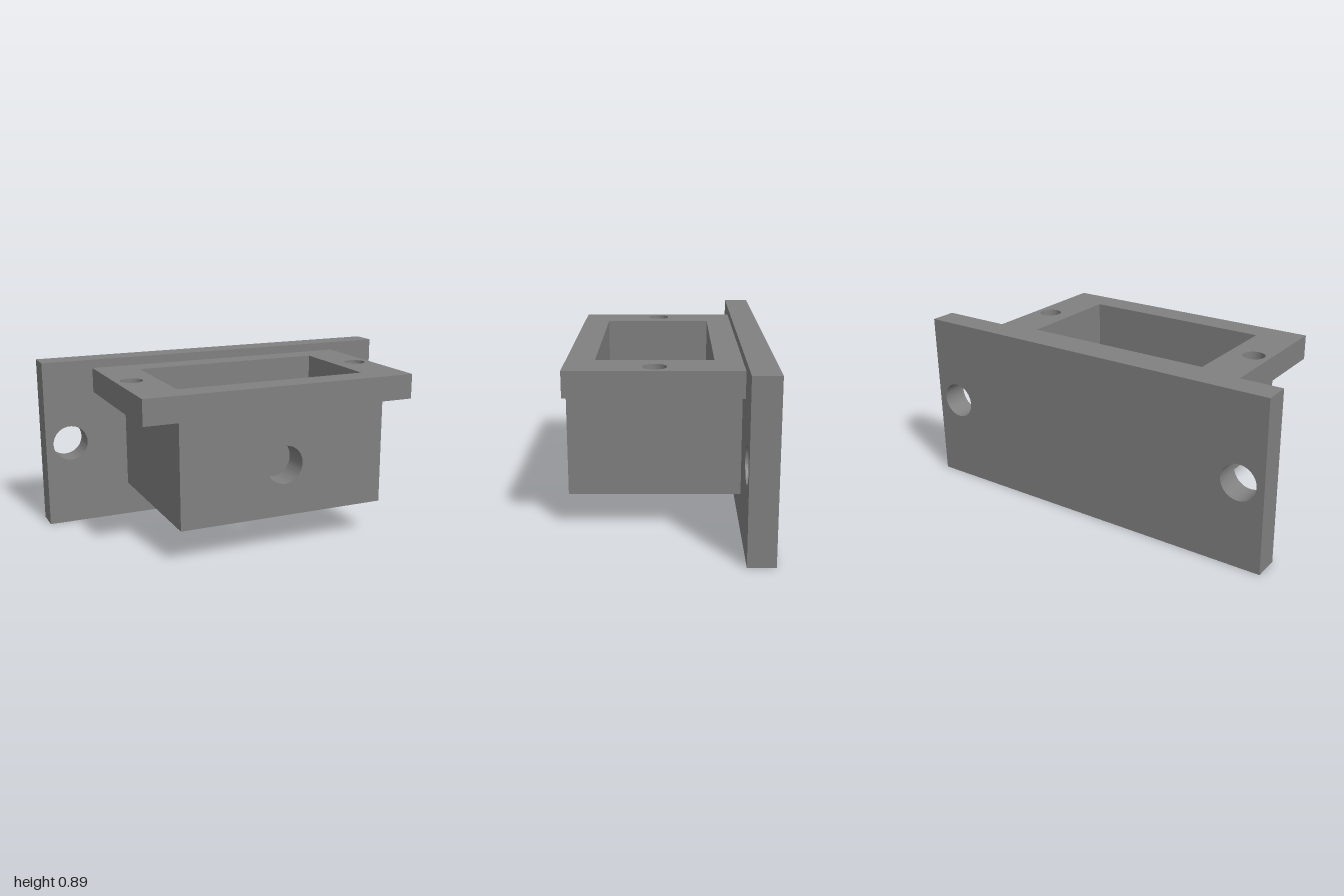
import * as THREE from 'three';
import { toCreasedNormals } from 'three/addons/utils/BufferGeometryUtils.js';

const BODY_X = 0.555, FLANGE_X = 0.73, OPEN_X = 0.51;
const FRONT = 0.49, BACK = -0.49, PLATE_Z = -0.355;
const OPEN_FRONT = 0.35, OPEN_BACK = -0.22;
const BOTTOM = 0.18, FLANGE_Y = 0.715, TOP = 0.845, HOLE_Y = 0.445;

const polygon = (points) => new THREE.Shape(points.map(([x, y]) => new THREE.Vector2(x, y)));
const rect = (x0, y0, x1, y1) => polygon([[x0, y0], [x1, y0], [x1, y1], [x0, y1]]);
const circle = (x, y, r) => new THREE.Path().absarc(x, y, r, 0, Math.PI * 2, true);

function extrude(shape, depth) {
  const geometry = new THREE.ExtrudeGeometry(shape, { depth, bevelEnabled: false, curveSegments: 32 });
  return toCreasedNormals(geometry, Math.PI / 6);
}

// Shape drawn in x, -z and raised from y0 to y1
const extrudeUp = (shape, y0, y1) => extrude(shape, y1 - y0).rotateX(-Math.PI / 2).translate(0, y0, 0);

// Shape drawn in x, y and pushed from z0 to z1
const extrudeForward = (shape, z0, z1) => extrude(shape, z1 - z0).translate(0, 0, z0);

export function createModel() {
  const group = new THREE.Group();
  const grey = new THREE.MeshStandardMaterial({ name: 'grey', color: 0x808080 });
  const add = (name, geometry) => {
    const mesh = new THREE.Mesh(geometry, grey);
    mesh.name = name;
    group.add(mesh);
  };

  // Mounting plate with a screw hole at each end
  const plate = rect(-1, 0, 1, 0.89);
  for (const side of [-1, 1]) plate.holes.push(circle(side * 0.867, HOLE_Y, 0.093));
  add('mountingPlate', extrudeForward(plate, BACK, PLATE_Z));

  // Top flange around the opening, with two small screw holes
  const flange = rect(-FLANGE_X, -FRONT, FLANGE_X, -PLATE_Z);
  flange.holes.push(rect(-OPEN_X, -OPEN_FRONT, OPEN_X, -OPEN_BACK));
  for (const side of [-1, 1]) flange.holes.push(circle(side * 0.643, -0.062, 0.057));
  add('topFlange', extrudeUp(flange, FLANGE_Y, TOP));

  // Back and side walls of the open sleeve
  const walls = polygon([
    [-BODY_X, -OPEN_FRONT], [-OPEN_X, -OPEN_FRONT], [-OPEN_X, -OPEN_BACK], [OPEN_X, -OPEN_BACK],
    [OPEN_X, -OPEN_FRONT], [BODY_X, -OPEN_FRONT], [BODY_X, -PLATE_Z], [-BODY_X, -PLATE_Z],
  ]);
  add('sleeveWalls', extrudeUp(walls, BOTTOM, FLANGE_Y));

  // Front wall with a round through hole
  const front = rect(-BODY_X, BOTTOM, BODY_X, FLANGE_Y);
  front.holes.push(circle(0, HOLE_Y, 0.098));
  add('frontWall', extrudeForward(front, OPEN_FRONT, FRONT));

  return group;
}
